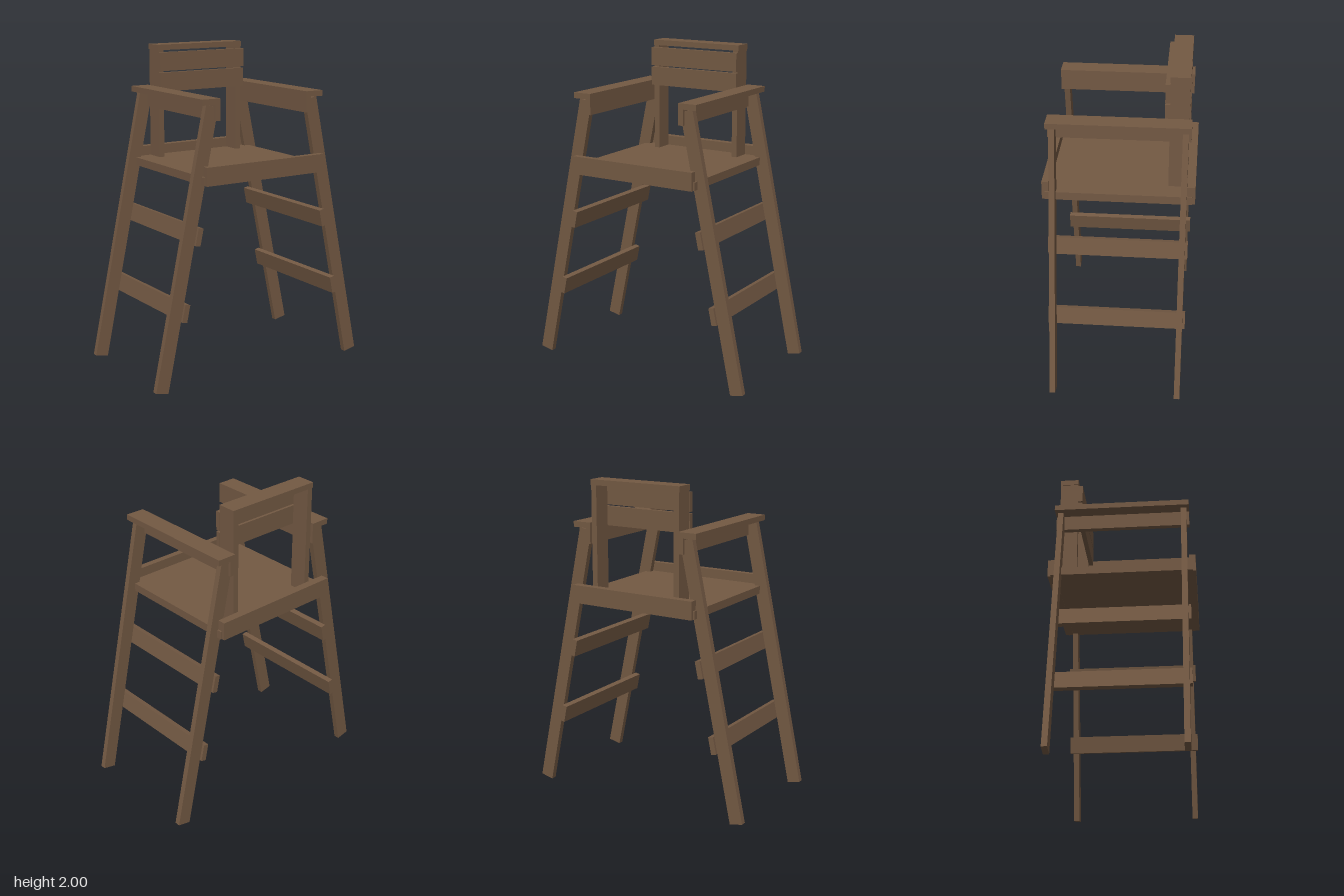
import * as THREE from 'three';

export function createModel() {
  const model = new THREE.Group();
  model.name = 'highChair';
  const wood = new THREE.MeshStandardMaterial({ color: 0x735943 });

  // Board given by its extents on each axis
  function board(name, [x0, x1], [y0, y1], [z0, z1]) {
    const mesh = new THREE.Mesh(new THREE.BoxGeometry(x1 - x0, y1 - y0, z1 - z0), wood);
    mesh.position.set((x0 + x1) / 2, (y0 + y1) / 2, (z0 + z1) / 2);
    mesh.name = name;
    model.add(mesh);
    return mesh;
  }

  // Board given by size and centre, leaning inward with the legs
  const lean = 0.208;
  function leaningBoard(name, side, size, x, y, z) {
    const mesh = new THREE.Mesh(new THREE.BoxGeometry(...size), wood);
    mesh.position.set(side * x, y, z);
    mesh.rotation.z = side * lean;
    mesh.name = name;
    model.add(mesh);
  }

  // Mirrored range on the x axis
  const span = (side, a, b) => (side > 0 ? [a, b] : [-b, -a]);

  // Seat panel with raised front and back rails
  board('seat', [-0.435, 0.435], [1.24, 1.29], [-0.437, 0.437]);
  board('frontRail', [-0.425, 0.425], [1.238, 1.35], [0.415, 0.455]);
  board('backRail', [-0.425, 0.425], [1.238, 1.35], [-0.455, -0.405]);

  const legLength = 1.72;
  for (const side of [1, -1]) {
    const label = side > 0 ? 'left' : 'right';

    // Splayed legs
    for (const [end, z] of [['Front', 0.388], ['Back', -0.388]]) {
      leaningBoard(label + end + 'Leg', side, [0.085, legLength, 0.035],
        0.7125 - Math.sin(lean) * legLength / 2,
        0.0125 + Math.cos(lean) * legLength / 2, z);
    }

    // Side slats on the inner faces of the legs
    leaningBoard(label + 'LowerSlat', side, [0.034, 0.108, 0.842], 0.552, 0.483, 0);
    leaningBoard(label + 'UpperSlat', side, [0.034, 0.108, 0.842], 0.457, 0.935, 0);

    // Armrest with the rail beneath it
    board(label + 'Armrest', span(side, 0.312, 0.433), [1.705, 1.74], [-0.422, 0.422]);
    board(label + 'ArmRail', span(side, 0.312, 0.346), [1.61, 1.705], [-0.421, 0.421]);

    // Backrest post
    board(label + 'BackPost', span(side, 0.273, 0.309), [1.29, 1.966], [-0.405, -0.291]);
  }

  // Backrest slats and cap
  board('lowerBackSlat', [-0.313, 0.313], [1.71, 1.828], [-0.291, -0.262]);
  board('upperBackSlat', [-0.313, 0.313], [1.838, 1.954], [-0.291, -0.262]);
  board('backrestCap', [-0.313, 0.313], [1.966, 2], [-0.407, -0.29]);

  return model;
}
